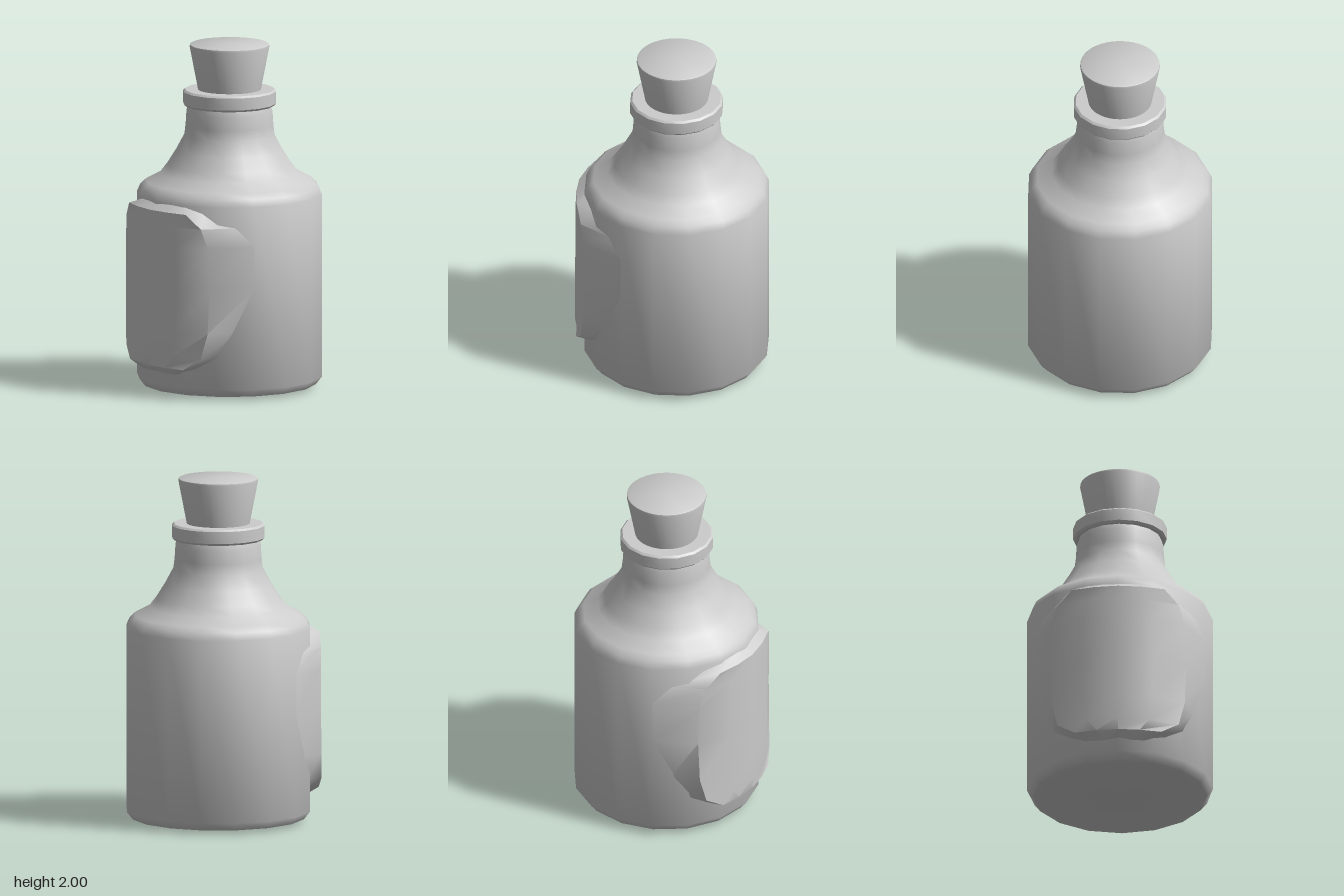
import * as THREE from 'three';
import { toCreasedNormals } from 'three/addons/utils/BufferGeometryUtils.js';

const CX = 0.024; // bottle axis, shifted because the label panel bulges on one side
const mat = new THREE.MeshStandardMaterial({ color: 0xcccccc });
const panelMat = new THREE.MeshStandardMaterial({ color: 0xcccccc, side: THREE.DoubleSide });

// Turned part from [radius, height] points, bottom to top
function turned(name, profile, sides) {
  const pts = profile.map(([r, y]) => new THREE.Vector2(r, y));
  const geo = toCreasedNormals(new THREE.LatheGeometry(pts, sides), 0.75);
  const mesh = new THREE.Mesh(geo, mat);
  mesh.name = name;
  mesh.position.x = CX;
  return mesh;
}

// Raised label panel wrapped around the -x side of the bottle
function labelPanel() {
  // height, half angle of the face, face radius, angle where the rim meets the glass (degrees)
  const rows = [
    [0.125, 14, 0.515, 20], [0.18, 25, 0.578, 31], [0.25, 36, 0.585, 46],
    [0.4, 40, 0.587, 56], [0.65, 41, 0.587, 67.5], [0.9, 40, 0.586, 67.5],
    [1.01, 36, 0.583, 60], [1.09, 27, 0.579, 36], [1.135, 16, 0.515, 22],
  ];
  const pos = [], idx = [];
  rows.forEach(([y, half, r, rim], j) => {
    const end = j === 0 || j === rows.length - 1;
    const rimR = rim > 67 ? 0.537 : 0.522;
    for (let i = -3; i <= 3; i++) {
      const outer = Math.abs(i) === 3;
      const a = THREE.MathUtils.degToRad(outer ? Math.sign(i) * rim : half * i / 2);
      const flare = !end && Math.abs(i) === 2 ? 0.01 : 0;
      const rad = outer ? (end ? 0.515 : rimR) : r + flare;
      pos.push(CX - rad * Math.cos(a), y, rad * Math.sin(a));
    }
  });
  for (let j = 0; j < rows.length - 1; j++) {
    for (let i = 0; i < 6; i++) {
      const a = j * 7 + i, b = a + 1, c = a + 7, d = c + 1;
      idx.push(a, b, d, a, d, c);
    }
  }
  const geo = new THREE.BufferGeometry();
  geo.setAttribute('position', new THREE.Float32BufferAttribute(pos, 3));
  geo.setIndex(idx);
  const mesh = new THREE.Mesh(toCreasedNormals(geo, 0.75), panelMat);
  mesh.name = 'labelPanel';
  return mesh;
}

export function createModel() {
  const group = new THREE.Group();
  group.name = 'corkedBottle';

  // Glass body with bevelled foot, rounded shoulder and curved neck
  group.add(turned('bottleBody', [
    [0, 0], [0.41, 0.004], [0.502, 0.02], [0.537, 0.065], [0.537, 1.13],
    [0.518, 1.172], [0.485, 1.203], [0.4, 1.248], [0.36, 1.3], [0.31, 1.38],
    [0.262, 1.47], [0.255, 1.53], [0.25, 1.61], [0.238, 1.65],
  ], 16));

  // Ring lip at the mouth
  group.add(turned('bottleLip', [
    [0, 1.642], [0.258, 1.642], [0.27, 1.654], [0.27, 1.724], [0.258, 1.735], [0, 1.735],
  ], 16));

  // Tapered cork stopper
  group.add(turned('cork', [
    [0, 1.7], [0.175, 1.7], [0.23, 1.985], [0.228, 1.996], [0.222, 2], [0, 2],
  ], 40));

  group.add(labelPanel());
  return group;
}
